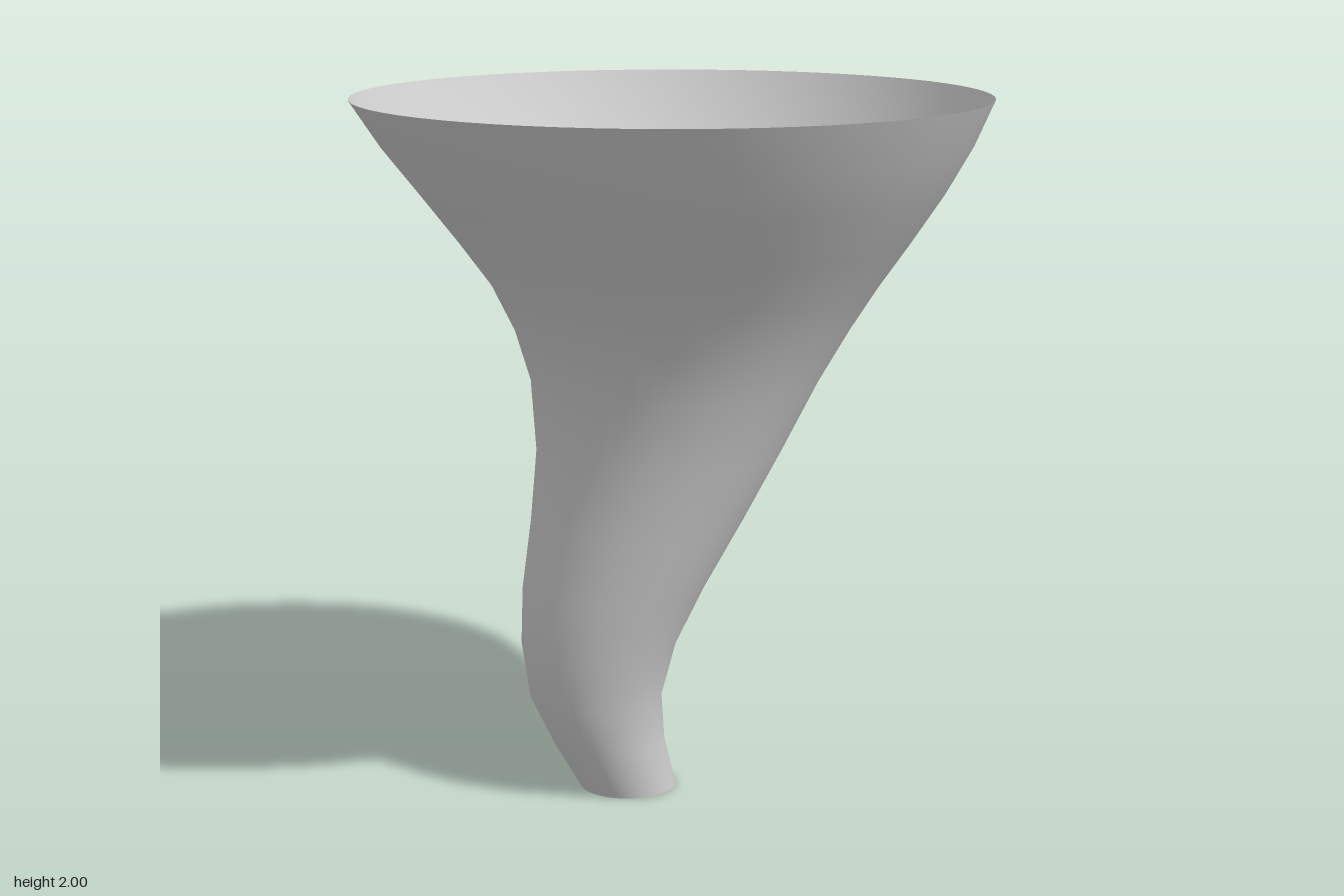
import * as THREE from 'three';
import { mergeVertices } from 'three/addons/utils/BufferGeometryUtils.js';

// Horizontal rings from the narrow outlet to the wide rim: [height, centre x, radius]
const RINGS = [
  [0, -0.133, 0.139], [0.14, -0.19, 0.162], [0.28, -0.228, 0.19], [0.44, -0.218, 0.223],
  [0.6, -0.175, 0.26], [0.8, -0.103, 0.304], [1.0, -0.038, 0.35], [1.2, 0.008, 0.409],
  [1.35, 0.03, 0.476], [1.48, 0.04, 0.55], [1.6, 0.038, 0.636], [1.74, 0.03, 0.737],
  [1.87, 0.015, 0.825], [2, 0, 0.896],
];

// Open tube whose rings are shifted and scaled into a bent funnel
function funnelGeometry() {
  const rows = RINGS.length - 1;
  let geometry = new THREE.CylinderGeometry(1, 1, rows, 64, rows, true);
  const pos = geometry.attributes.position;
  for (let i = 0; i < pos.count; i++) {
    const [y, cx, r] = RINGS[Math.round(pos.getY(i) + rows / 2)];
    pos.setXYZ(i, cx + r * pos.getX(i), y, r * pos.getZ(i));
  }
  // Weld the seam so the shading is smooth all the way round
  geometry.deleteAttribute('uv');
  geometry.deleteAttribute('normal');
  geometry = mergeVertices(geometry, 1e-4);
  geometry.computeVertexNormals();
  return geometry;
}

export function createModel() {
  const group = new THREE.Group();
  const material = new THREE.MeshStandardMaterial({ color: 0xcccccc, side: THREE.DoubleSide });
  const funnel = new THREE.Mesh(funnelGeometry(), material);
  funnel.name = 'bentFunnel';
  group.add(funnel);
  return group;
}
